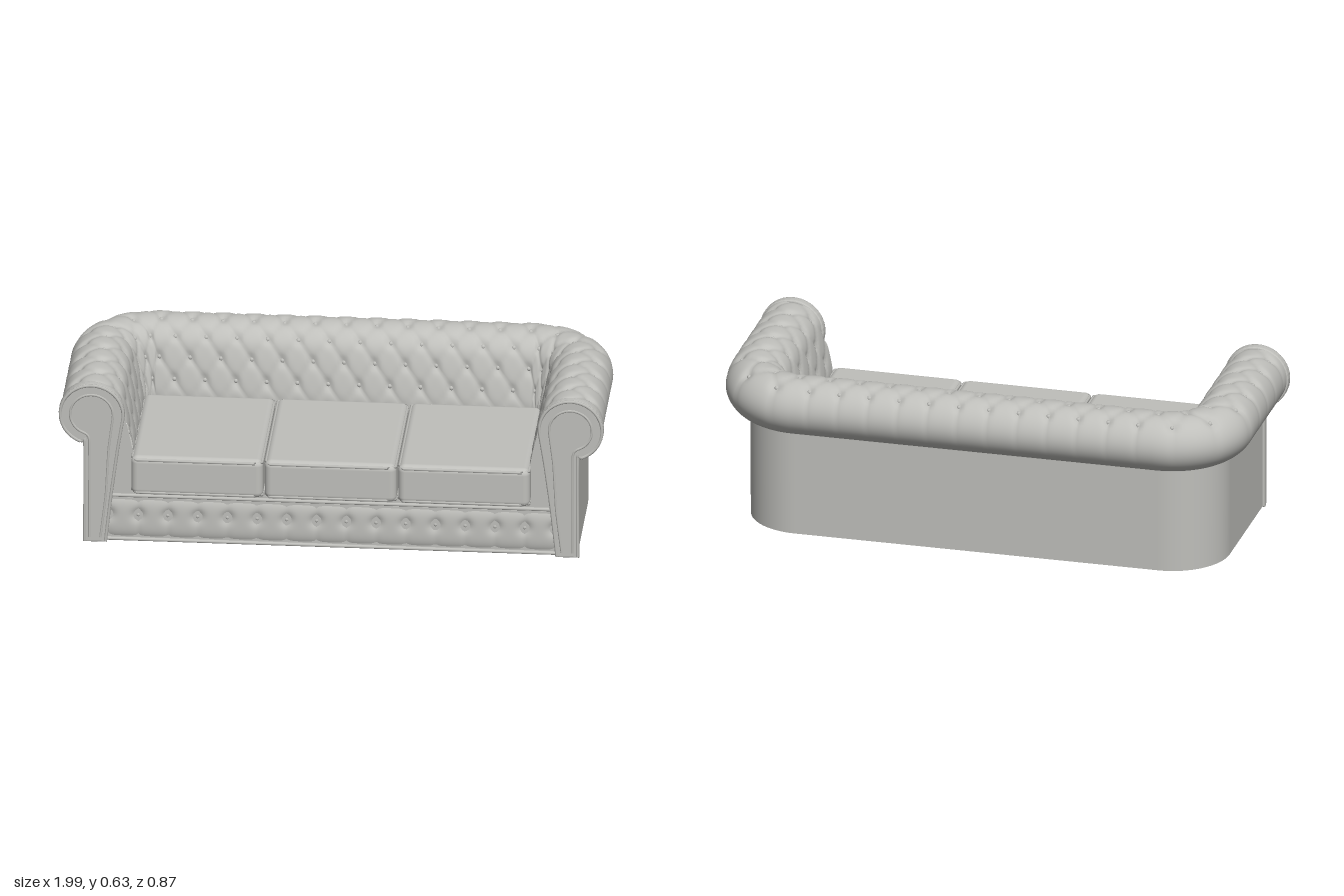
import * as THREE from 'three';
import { RoundedBoxGeometry } from 'three/addons/geometries/RoundedBoxGeometry.js';

const leather = new THREE.MeshStandardMaterial({ color: 0xbfbfbb });
leather.name = 'greyLeather';

const CX = 0.87, CZ = -0.305, FRONT = 0.36, R = 0.19; // centre line of the rolled rim
const ROLL_Y = 0.515, ROLL_R = 0.112;

function add(parent, name, geometry, x = 0, y = 0, z = 0) {
  const mesh = new THREE.Mesh(geometry, leather);
  mesh.name = name;
  mesh.position.set(x, y, z);
  parent.add(mesh);
  return mesh;
}

// U-shaped path in plan (x, z), inset or grown by d
function uPath(d, closed) {
  const p = closed ? new THREE.Shape() : new THREE.Path();
  const x = CX - R, z = CZ + R;
  p.moveTo(CX + d, FRONT);
  p.lineTo(CX + d, z);
  p.absarc(x, z, R + d, 0, -Math.PI / 2, true);
  p.lineTo(-x, CZ - d);
  p.absarc(-x, z, R + d, -Math.PI / 2, -Math.PI, true);
  p.lineTo(-CX - d, FRONT);
  return p;
}

// Cross-section (outward, up): outer wall, rolled top, sloping inner face
function rimProfile() {
  const p = new THREE.Path();
  p.moveTo(0.023, 0.012);
  p.lineTo(0.025, 0.42);
  p.absarc(0, ROLL_Y, ROLL_R, -1.2, 2.75, false);
  p.quadraticCurveTo(-0.125, 0.49, -0.15, 0.36);
  p.lineTo(-0.155, 0.18);
  return p;
}

const path = uPath(0, false), profile = rimProfile();
const pathLength = path.getLength(), profileLength = profile.getLength();
const COUNT = 26, STEP = pathLength / COUNT, ROW0 = 0.67, ROW = 0.085;
const fold = (x) => Math.abs(x - Math.round(x));
const smooth = THREE.MathUtils.smoothstep;

// Depth of the diamond tufting at s along the rim and t along the profile
function tuft(s, t) {
  const u = s / STEP + 0.5, v = (Math.max(t, ROW0) - ROW0) / (2 * ROW);
  const a = fold(u + v), b = fold(u - v);
  const fade = smooth(t, 0.47, ROW0) * (1 - smooth(t, 1.04, 1.1));
  const below = t < ROW0 ? Math.exp(-(((ROW0 - t) / 0.02) ** 2)) : 1;
  const crease = 0.006 * Math.exp(-Math.min(a, b) / 0.1);
  const dimple = 0.012 * Math.exp(-(a * a + b * b) / 0.03) * below;
  return fade * (0.005 - crease - dimple);
}

function rimPoint(s, t, lift = 0) {
  const u = THREE.MathUtils.clamp(s / pathLength, 0, 1);
  const v = THREE.MathUtils.clamp(t / profileLength, 0, 1);
  const c = path.getPoint(u), ct = path.getTangent(u);
  const p = profile.getPoint(v), pt = profile.getTangent(v);
  const h = tuft(s, t) + lift;
  const d = p.x + pt.y * h;
  let y = p.y - pt.x * h;
  const z = c.y + ct.x * d;
  y -= 0.012 * smooth(y, 0.42, 0.6) * smooth(-z, 0, 0.3); // back slightly lower than arms
  return new THREE.Vector3(c.x - ct.y * d, y, z);
}

function rimGeometry(ns = 312, nt = 100) {
  const pos = [], index = [];
  for (let i = 0; i <= ns; i++) {
    for (let j = 0; j <= nt; j++) {
      const q = rimPoint((i / ns) * pathLength, (j / nt) * profileLength);
      pos.push(q.x, q.y, q.z);
      if (i < ns && j < nt) {
        const a = i * (nt + 1) + j, b = a + nt + 1;
        index.push(a, b, a + 1, b, b + 1, a + 1);
      }
    }
  }
  const g = new THREE.BufferGeometry();
  g.setAttribute('position', new THREE.Float32BufferAttribute(pos, 3));
  g.setIndex(index);
  g.computeVertexNormals();
  return g;
}

// Keyhole outline of the arm front: straight post with round scroll
function keyhole(outer, inner, r, bottom) {
  const pts = [[outer, bottom], [outer, 0.41]];
  for (let i = 0; i <= 28; i++) {
    const a = -1.25 + (4.55 * i) / 28;
    pts.push([r * Math.cos(a), ROLL_Y + r * Math.sin(a)]);
  }
  pts.push([inner - 0.045 * (r / 0.117), 0.38], [inner - 0.02, 0.2], [inner, bottom]);
  return pts;
}

function piping(pts, radius, closed) {
  const curve = new THREE.CatmullRomCurve3(pts, closed, 'catmullrom', 0.2);
  return new THREE.TubeGeometry(curve, 120, radius, 6, closed);
}

// Rounded rectangle loop lying flat, for cushion welts
function welt(w, d, r) {
  const pts = [];
  [[1, 1], [-1, 1], [-1, -1], [1, -1]].forEach(([sx, sz], k) => {
    for (let i = 0; i <= 4; i++) {
      const a = (k + i / 4) * Math.PI / 2;
      pts.push(new THREE.Vector3(sx * (w / 2 - r) + r * Math.cos(a), 0, sz * (d / 2 - r) + r * Math.sin(a)));
    }
  });
  return piping(pts, 0.006, true);
}

export function createModel() {
  const model = new THREE.Group();
  model.name = 'sofa';
  const sofa = new THREE.Group();
  sofa.name = 'sofaBody';
  sofa.rotation.y = -0.028;
  model.add(sofa);

  // Solid base under the seat
  const base = new THREE.ExtrudeGeometry(uPath(0.018, true), { depth: 0.17, bevelEnabled: false, curveSegments: 20 });
  base.rotateX(Math.PI / 2);
  add(sofa, 'base', base, 0, 0.184, 0);

  // Arms and back as one rolled, tufted rim
  add(sofa, 'armsAndBack', rimGeometry());
  const buttons = new THREE.Group();
  buttons.name = 'buttons';
  sofa.add(buttons);
  const buttonGeo = new THREE.SphereGeometry(0.009, 8, 6);
  for (let row = 0; row < 5; row++) {
    for (let k = 0; k <= COUNT; k++) {
      const s = (k + (row % 2 ? 0 : 0.5)) * STEP;
      if (s < 0.02 || s > pathLength - 0.02) continue;
      const q = rimPoint(s, ROW0 + row * ROW, 0.001);
      add(buttons, 'button', buttonGeo, q.x, q.y, q.z);
    }
  }

  // Arm fronts: end cap, scroll panel and piping
  const capPoints = profile.getSpacedPoints(80);
  for (const side of [1, -1]) {
    const arm = new THREE.Group();
    arm.name = side > 0 ? 'leftArmFront' : 'rightArmFront';
    arm.position.x = side * CX;
    sofa.add(arm);
    const cap = new THREE.Shape(capPoints.map((p) => new THREE.Vector2(side * p.x, p.y)));
    add(arm, 'armEndCap', new THREE.ShapeGeometry(cap), 0, 0, FRONT - 0.001);
    const outline = keyhole(0.025, -0.05, 0.114, 0.016);
    const panel = new THREE.Shape(outline.map(([x, y]) => new THREE.Vector2(side * x, y)));
    add(arm, 'scrollPanel', new THREE.ExtrudeGeometry(panel, {
      depth: 0.016, bevelThickness: 0.008, bevelSize: 0.006, bevelSegments: 3,
    }), 0, 0, 0.354);
    const to3 = ([x, y]) => new THREE.Vector3(side * x, y, 0.376);
    add(arm, 'outerPiping', piping(outline.map(to3), 0.006, false));
    add(arm, 'innerPiping', piping(keyhole(0.008, -0.032, 0.078, 0.03).map(to3), 0.005, false));
  }

  // Tufted front rail
  const railW = 1.64, railH = 0.172, gap = 0.108;
  const rail = new THREE.BoxGeometry(railW, railH, 0.06, 180, 18, 1);
  const rp = rail.attributes.position;
  for (let i = 0; i < rp.count; i++) {
    if (rp.getZ(i) < 0) continue;
    const x = rp.getX(i), y = rp.getY(i);
    const u = fold(x / gap + 0.5) * gap, v = y - 0.012;
    const edge = Math.abs(y) / (railH / 2);
    const dip = 0.014 * Math.exp(-(u * u + v * v) / 0.0005) + 0.004 * Math.exp(-u / 0.01);
    rp.setZ(i, 0.03 - 0.016 * edge ** 4 - dip);
  }
  rail.computeVertexNormals();
  add(sofa, 'frontRail', rail, 0, 0.104, 0.338);
  for (let k = -7.5; k <= 7.5; k++) {
    add(buttons, 'railButton', buttonGeo, k * gap, 0.116, 0.354);
  }
  for (const y of [0.02, 0.192]) {
    const line = new THREE.CylinderGeometry(0.007, 0.007, railW, 8);
    line.rotateZ(Math.PI / 2);
    add(sofa, 'railWelt', line, 0, y, 0.36);
  }

  // Seat deck and three piped cushions
  add(sofa, 'seatDeck', new RoundedBoxGeometry(1.6, 0.05, 0.52, 3, 0.015), 0, 0.207, 0.09);
  const w = 0.485, d = 0.575;
  for (const i of [-1, 0, 1]) {
    const cushion = new THREE.Group();
    cushion.name = 'seatCushion';
    cushion.position.set(i * w, 0.292, 0.414 - d / 2);
    sofa.add(cushion);
    add(cushion, 'cushionPad', new RoundedBoxGeometry(w - 0.006, 0.152, d, 5, 0.025));
    for (const y of [-0.064, 0.064]) add(cushion, 'cushionWelt', welt(w - 0.014, d - 0.008, 0.03), 0, y, 0);
  }

  // Low round feet
  const foot = new THREE.CylinderGeometry(0.027, 0.025, 0.016, 20);
  for (const side of [1, -1]) {
    add(sofa, 'frontFoot', foot, side * 0.84, 0.008, 0.31);
    add(sofa, 'backFoot', foot, side * 0.76, 0.008, -0.21);
  }
  return model;
}
